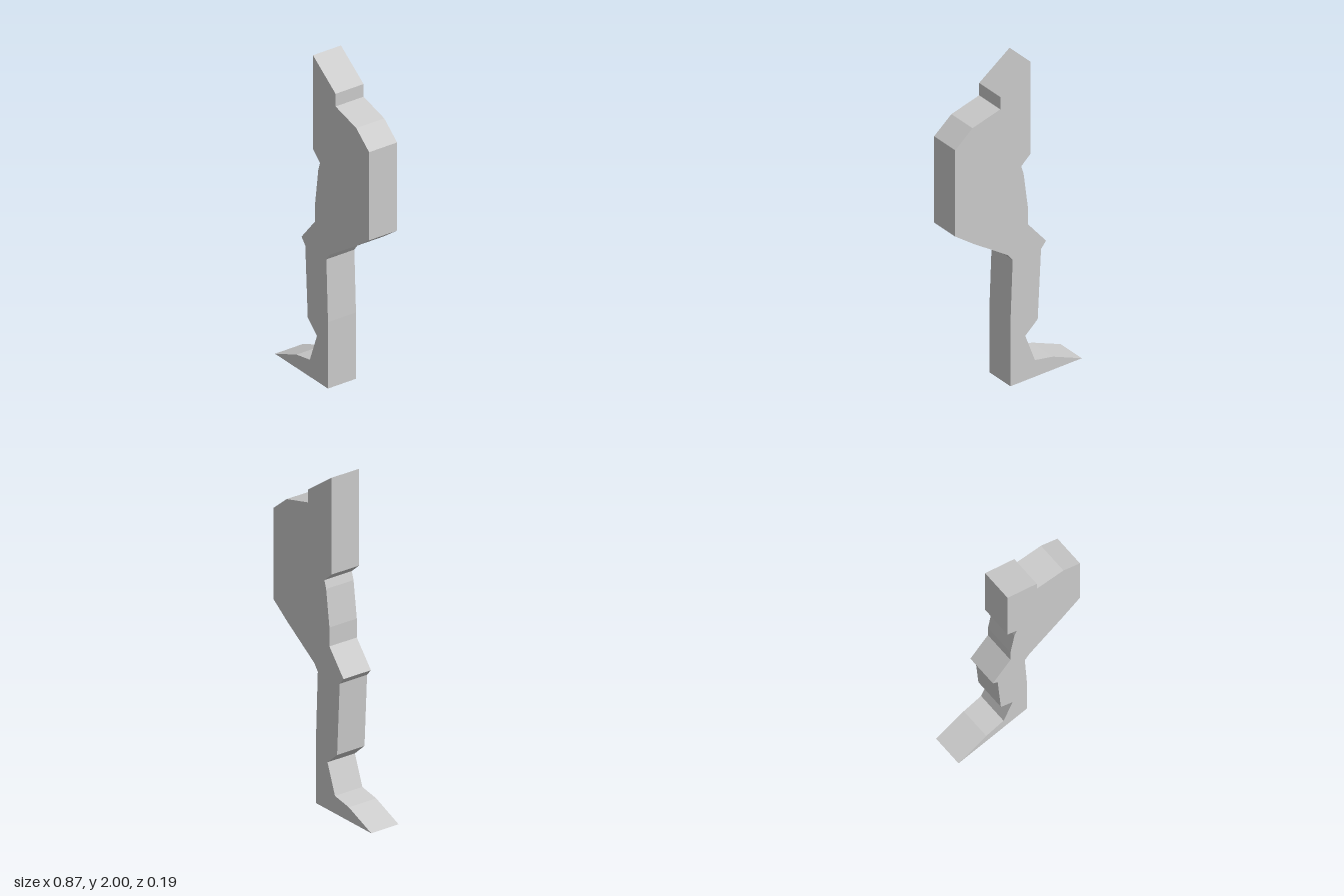
import * as THREE from 'three';

const DEPTH = 0.188;

// Side outline of the leg, clockwise from the top of the hip
const OUTLINE = [
  // hip and buttock
  [-0.083, 2], [0.125, 1.853], [0.125, 1.775], [0.315, 1.725], [0.433, 1.628],
  [0.433, 1.083], [0.31, 0.993],
  // back of the knee, calf and heel
  [0.07, 0.833], [0.04, 0.792], [0.055, 0.41], [0.055, 0],
  // toe, instep and ankle
  [-0.433, 0], [-0.235, 0.082], [-0.112, 0.105], [-0.046, 0.282], [-0.131, 0.357],
  // shin, kneecap and thigh
  [-0.154, 0.792], [-0.188, 0.832], [-0.063, 0.982], [-0.063, 1.095],
  [-0.034, 1.315], [-0.018, 1.363], [-0.083, 1.42],
];

export function createModel() {
  const group = new THREE.Group();
  group.name = 'legPlate';

  // One thick flat plate cut to the outline, centred in depth
  const shape = new THREE.Shape(OUTLINE.map(([x, y]) => new THREE.Vector2(x, y)));
  const geometry = new THREE.ExtrudeGeometry(shape, { depth: DEPTH, bevelEnabled: false });
  geometry.translate(0, 0, -DEPTH / 2);

  const material = new THREE.MeshStandardMaterial({ color: 0xcccccc, flatShading: true });
  const leg = new THREE.Mesh(geometry, material);
  leg.name = 'leg';
  group.add(leg);
  return group;
}
